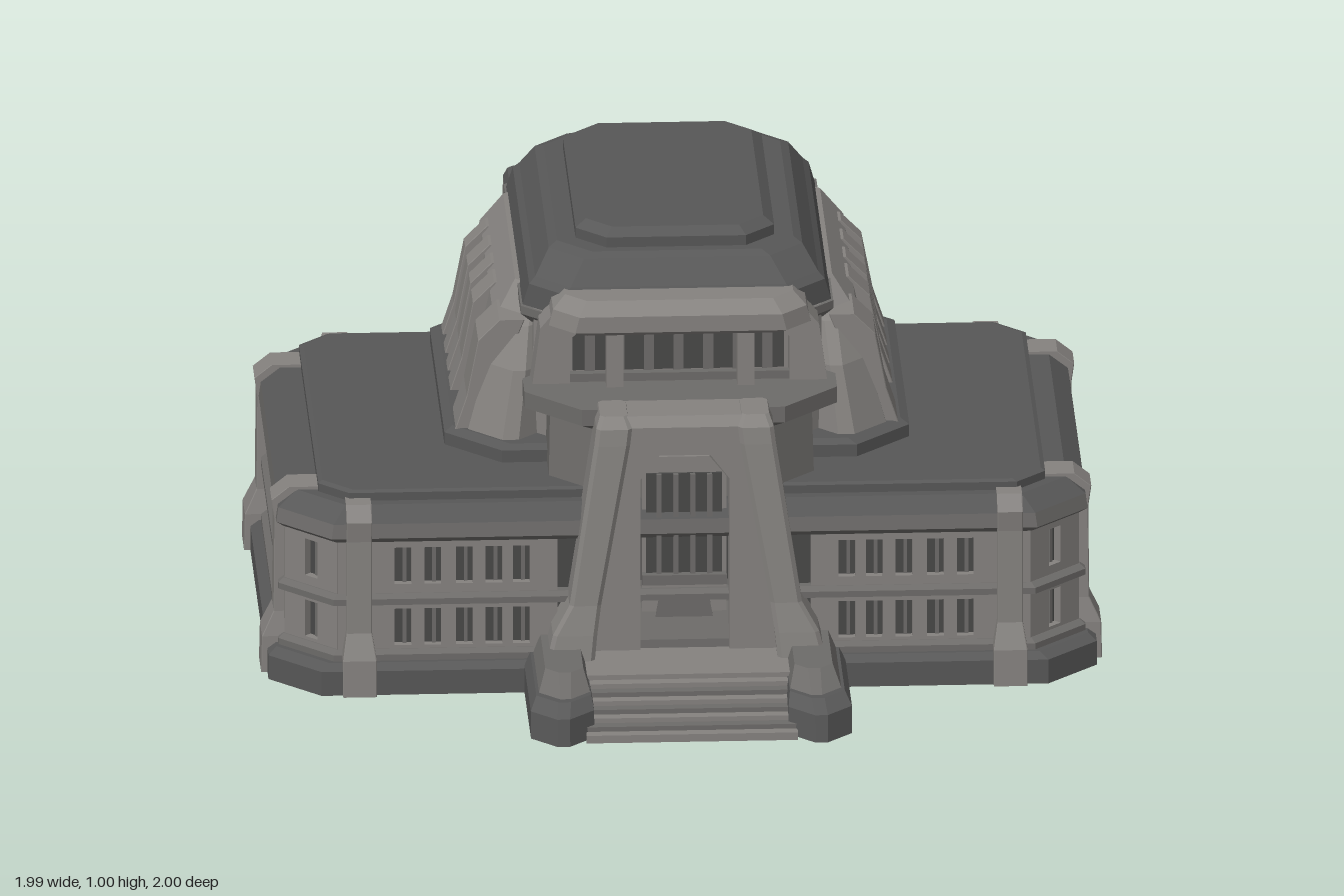
import * as THREE from 'three';

const mat = (name, color, side = THREE.FrontSide) => {
  const m = new THREE.MeshStandardMaterial({ color, side });
  m.name = name;
  return m;
};

export function createModel() {
  const root = new THREE.Group();
  root.name = 'civicBuilding';
  const stone = mat('pale stone', 0x85827f);
  const trim = mat('mid stone', 0x6d6b69);
  const slate = mat('dark slate', 0x575757);
  const glass = mat('dark glass', 0x484847);

  const add = (name, geo, material, parent = root) => {
    const mesh = new THREE.Mesh(geo, material);
    mesh.name = name;
    parent.add(mesh);
    return mesh;
  };

  // Stacked chamfered rectangles: each ring is [y, x0, x1, z0, z1, chamfer]
  const loftGeo = (rings) => {
    const pos = [], idx = [], n = 8, last = (rings.length - 1) * n;
    for (const [y, x0, x1, z0, z1, ch = 0] of rings) {
      const c = Math.max(ch, 0.002);
      for (const [x, z] of [[x1 - c, z1], [x1, z1 - c], [x1, z0 + c], [x1 - c, z0],
        [x0 + c, z0], [x0, z0 + c], [x0, z1 - c], [x0 + c, z1]]) pos.push(x, y, z);
    }
    for (let r = 0; r < last; r += n) {
      for (let i = 0; i < n; i++) {
        const j = (i + 1) % n;
        idx.push(r + i, r + j, r + n + j, r + i, r + n + j, r + n + i);
      }
    }
    for (let i = 1; i < n - 1; i++) idx.push(0, i + 1, i, last, last + i, last + i + 1);
    const g = new THREE.BufferGeometry();
    g.setAttribute('position', new THREE.Float32BufferAttribute(pos, 3));
    g.setIndex(idx);
    const flat = g.toNonIndexed();
    flat.computeVertexNormals();
    return flat;
  };
  const loft = (name, m, rings, parent) => add(name, loftGeo(rings), m, parent);
  // Same loft on both sides of x = 0
  const pair = (name, m, rings) => {
    loft(name + 'Left', m, rings);
    loft(name + 'Right', m, rings.map(([y, a, b, ...rest]) => [y, -b, -a, ...rest]));
  };
  // Centred loft: [y, halfX, z0, z1, chamfer]
  const mid = (name, m, rings) => loft(name, m, rings.map(([y, h, ...rest]) => [y, -h, h, ...rest]));
  const box = (name, m, x0, x1, y0, y1, z0, z1) => {
    const mesh = add(name, new THREE.BoxGeometry(x1 - x0, y1 - y0, z1 - z0), m);
    mesh.position.set((x0 + x1) / 2, (y0 + y1) / 2, (z0 + z1) / 2);
    return mesh;
  };
  const polygon = (pts, Kind = THREE.Shape) => new Kind(pts.map(([x, y]) => new THREE.Vector2(x, y)));

  // Wings: plinth, glazed core, string courses, cornice and roof
  mid('wingPlinth', slate, [[0, 0.98, -0.63, 0.63, 0.12], [0.06, 0.98, -0.63, 0.63, 0.12], [0.075, 0.96, -0.61, 0.61, 0.12]]);
  mid('wingGlazing', glass, [[0.07, 0.92, -0.565, 0.565, 0.12], [0.39, 0.92, -0.565, 0.565, 0.12]]);
  for (const [y0, y1] of [[0.07, 0.1], [0.215, 0.24]]) {
    mid('stringCourse', trim, [[y0, 0.955, -0.6, 0.6, 0.125], [y1 - 0.01, 0.955, -0.6, 0.6, 0.125], [y1, 0.942, -0.587, 0.587, 0.12]]);
  }
  mid('wingCornice', trim, [[0.37, 0.942, -0.587, 0.587, 0.12], [0.385, 0.96, -0.605, 0.605, 0.125], [0.42, 0.955, -0.6, 0.6, 0.125]]);
  mid('wingParapet', slate, [[0.42, 0.955, -0.6, 0.6, 0.125], [0.455, 0.91, -0.56, 0.56, 0.11]]);
  mid('wingRoof', slate, [[0.455, 0.86, -0.535, 0.535, 0.07], [0.475, 0.86, -0.535, 0.535, 0.07], [0.48, 0.85, -0.525, 0.525, 0.07]]);

  // Pierced wall panels with two rows of windows
  const facade = (name, width, windows, x, z, angle) => {
    const h = width / 2;
    const shape = polygon([[-h, 0.07], [h, 0.07], [h, 0.385], [-h, 0.385]]);
    const g = new THREE.Group();
    g.name = name;
    for (const wx of windows) {
      for (const y of [0.108, 0.262]) {
        shape.holes.push(polygon([[wx - 0.02, y], [wx - 0.02, y + 0.092], [wx + 0.02, y + 0.092], [wx + 0.02, y]], THREE.Path));
        const bar = add('windowBar', new THREE.BoxGeometry(0.009, 0.092, 0.006), trim, g);
        bar.position.set(wx + 0.004, y + 0.046, -0.018);
      }
    }
    const geo = new THREE.ExtrudeGeometry(shape, { depth: 0.02, bevelEnabled: false });
    geo.translate(0, 0, -0.02);
    add('wall', geo, stone, g);
    g.position.set(x, 0, z);
    g.rotation.y = angle;
    root.add(g);
  };
  // Flared pilaster facing outward from a wall
  const pilaster = (x, z, angle, w) => {
    const h = w / 2;
    const m = loft('pilaster', stone, [[0, -h - 0.01, h + 0.01, -0.05, 0.06], [0.09, -h - 0.01, h + 0.01, -0.05, 0.058],
      [0.15, -h, h, -0.05, 0.03], [0.38, -h, h, -0.09, 0.028], [0.43, -h, h, -0.09, 0.035], [0.462, -h, h, -0.08, -0.005]]);
    m.position.set(x, 0, z);
    m.rotation.y = angle;
  };
  for (const s of [1, -1]) {
    facade('sideFacade', 0.93, [-0.31, -0.22, -0.13, 0, 0.13, 0.22, 0.31], s * 0.94, 0, s * Math.PI / 2);
    for (const f of [1, -1]) {
      const turn = f > 0 ? 0 : Math.PI;
      facade('wingFacade', 0.52, [-0.175, -0.11, -0.04, 0.035, 0.105].map((w) => w * s * f), s * 0.56, f * 0.585, turn);
      facade('cornerFacade', 0.17, [0], s * 0.88, f * 0.525, Math.atan2(s, f));
      pilaster(s * 0.77, f * 0.585, turn, 0.06);
      pilaster(s * 0.935, f * 0.41, s * Math.PI / 2, 0.085);
    }
  }

  // Central hall and stepped roof
  mid('hallWalls', stone, [[0, 0.35, -0.64, 0.3, 0.04], [0.83, 0.34, -0.63, 0.3, 0.04]]);
  mid('hallTerrace', slate, [[0.47, 0.55, -0.6, 0.36, 0.13], [0.51, 0.55, -0.6, 0.36, 0.13], [0.52, 0.53, -0.58, 0.34, 0.13]]);
  mid('hallCornice', trim, [[0.79, 0.345, -0.635, 0.3, 0.06], [0.81, 0.37, -0.645, 0.31, 0.07], [0.83, 0.37, -0.645, 0.31, 0.07]]);
  mid('lowerRoof', slate, [[0.83, 0.365, -0.64, 0.31, 0.08], [0.885, 0.35, -0.625, 0.32, 0.08], [0.9, 0.335, -0.615, 0.31, 0.08],
    [0.95, 0.3, -0.59, 0.25, 0.08], [0.96, 0.28, -0.57, 0.23, 0.08]]);
  mid('upperRoof', slate, [[0.955, 0.235, -0.545, 0.205, 0.07], [0.985, 0.235, -0.545, 0.205, 0.07], [1.003, 0.21, -0.515, 0.18, 0.06]]);

  // Sloping flanks with fins
  pair('flank', stone, [[0.5, 0.3, 0.5, -0.57, 0.32, 0.08], [0.68, 0.3, 0.45, -0.56, 0.28, 0.06], [0.77, 0.3, 0.43, -0.55, 0.22, 0.05], [0.835, 0.3, 0.375, -0.53, 0.1, 0.03]]);
  for (const [z, w] of [[-0.43, 0.03], [-0.31, 0.035], [-0.19, 0.035], [-0.07, 0.045], [0.16, 0.07]]) {
    pair('flankFin', stone, [[0.5, 0.4, 0.53, z - w, z + w], [0.6, 0.4, 0.497, z - w, z + w],
      [0.74, 0.38, 0.47, z - w, z + w], [0.79, 0.36, 0.42, z - w, z + w]]);
  }

  // Front block and balcony
  mid('frontBlock', trim, [[0, 0.36, 0.2, 0.62, 0.08], [0.12, 0.34, 0.2, 0.61, 0.08], [0.2, 0.32, 0.2, 0.57, 0.08], [0.63, 0.31, 0.2, 0.53, 0.1]]);
  mid('balcony', trim, [[0.62, 0.33, 0.2, 0.52, 0.12], [0.64, 0.37, 0.2, 0.55, 0.13], [0.68, 0.37, 0.2, 0.55, 0.13]]);

  // Loggia above the balcony
  const arch = polygon([[-0.35, 0.67], [-0.26, 0.67], [-0.26, 0.79], [-0.23, 0.82], [0.23, 0.82], [0.26, 0.79], [0.26, 0.67],
    [0.35, 0.67], [0.33, 0.82], [0.28, 0.88], [-0.28, 0.88], [-0.33, 0.82]]);
  add('loggiaFrame', new THREE.ExtrudeGeometry(arch, { depth: 0.09, bevelEnabled: false }), stone).position.z = 0.28;
  mid('loggiaHood', stone, [[0.815, 0.27, 0.2, 0.41, 0.05], [0.83, 0.31, 0.2, 0.435, 0.06], [0.87, 0.3, 0.2, 0.435, 0.06], [0.895, 0.27, 0.2, 0.39, 0.05]]);
  box('loggiaGlass', glass, -0.25, 0.25, 0.69, 0.81, 0.3, 0.308);
  for (let i = -3; i <= 3; i++) box('loggiaMullion', trim, i * 0.07 - 0.012, i * 0.07 + 0.012, 0.68, 0.82, 0.3, 0.32);
  box('loggiaRail', trim, -0.26, 0.26, 0.68, 0.7, 0.34, 0.36);
  for (const s of [-1, 1]) box('loggiaColumn', stone, s * 0.155 - 0.02, s * 0.155 + 0.02, 0.67, 0.82, 0.36, 0.4);

  // Entrance: surround with arched doorway, splayed piers and lintel
  const surround = polygon([[-0.27, 0.08], [0.27, 0.08], [0.19, 0.65], [-0.19, 0.65]]);
  surround.holes.push(polygon([[-0.105, 0.1], [-0.105, 0.53], [-0.06, 0.59], [0.06, 0.59], [0.105, 0.53], [0.105, 0.1]], THREE.Path));
  const surroundGeo = new THREE.ExtrudeGeometry(surround, { depth: 0.08, bevelEnabled: false });
  add('doorSurround', surroundGeo, stone).position.z = 0.545;
  pair('portalPier', stone, [[0.06, 0.22, 0.34, 0.5, 0.7, 0.01], [0.16, 0.21, 0.315, 0.5, 0.685, 0.01], [0.23, 0.2, 0.275, 0.5, 0.67, 0.01],
    [0.62, 0.13, 0.215, 0.5, 0.64, 0.01], [0.66, 0.125, 0.21, 0.5, 0.635, 0.01], [0.685, 0.135, 0.2, 0.5, 0.61, 0.01]]);
  mid('portalLintel', stone, [[0.62, 0.15, 0.5, 0.625], [0.66, 0.15, 0.5, 0.625], [0.683, 0.15, 0.5, 0.605]]);
  const light = polygon([[-0.1, 0.1], [0.1, 0.1], [0.1, 0.52], [0.06, 0.57], [-0.06, 0.57], [-0.1, 0.52]]);
  add('doorBacking', new THREE.ExtrudeGeometry(light, { depth: 0.07, bevelEnabled: false }), stone).position.z = 0.51;
  box('doorWindow', glass, -0.09, 0.09, 0.28, 0.53, 0.58, 0.586);
  for (const x of [-0.06, -0.02, 0.02, 0.06]) box('doorMullion', trim, x - 0.006, x + 0.006, 0.28, 0.53, 0.584, 0.596);
  box('doorTransom', trim, -0.1, 0.1, 0.255, 0.28, 0.57, 0.605);
  const leaf = polygon([[-0.075, 0.13], [0.075, 0.13], [0.055, 0.24], [-0.055, 0.24]]);
  add('doorLeaf', new THREE.ExtrudeGeometry(leaf, { depth: 0.006, bevelEnabled: false }), trim).position.z = 0.58;

  // Front steps, landing and cheek walls
  box('landing', stone, -0.26, 0.26, 0, 0.1, 0.5, 0.79);
  for (let i = 0; i < 7; i++) {
    box('step', i % 2 ? trim : stone, -0.25, 0.25, 0, 0.088 - i * 0.0115, 0.78, 0.818 + i * 0.027);
  }
  pair('stepCheek', slate, [[0, 0.23, 0.38, 0.55, 1, 0.06], [0.065, 0.23, 0.38, 0.55, 0.99, 0.06], [0.09, 0.235, 0.365, 0.55, 0.94, 0.05]]);
  pair('stepCheekCap', trim, [[0.085, 0.235, 0.36, 0.55, 0.93, 0.05], [0.128, 0.25, 0.34, 0.55, 0.84, 0.03]]);

  // Rear block with recessed panel, pilasters and platform
  mid('rearBlock', stone, [[0, 0.375, -0.78, -0.45, 0.015], [0.13, 0.37, -0.77, -0.45, 0.015], [0.8, 0.365, -0.73, -0.5, 0.015]]);
  mid('rearBlockRoof', slate, [[0.8, 0.365, -0.73, -0.5, 0.015], [0.825, 0.355, -0.715, -0.5, 0.015]]);
  mid('rearPanel', slate, [[0.11, 0.27, -0.777, -0.7], [0.73, 0.27, -0.739, -0.7]]);
  pair('rearPilaster', stone, [[0.08, 0.15, 0.27, -0.82, -0.7], [0.17, 0.155, 0.265, -0.815, -0.7], [0.22, 0.17, 0.245, -0.795, -0.7],
    [0.59, 0.17, 0.245, -0.775, -0.7], [0.64, 0.18, 0.235, -0.745, -0.7]]);
  mid('rearPlatform', slate, [[0, 0.38, -1, -0.5, 0.07], [0.045, 0.38, -0.995, -0.5, 0.07], [0.075, 0.36, -0.95, -0.5, 0.07], [0.11, 0.33, -0.84, -0.5, 0.05]]);

  return root;
}
